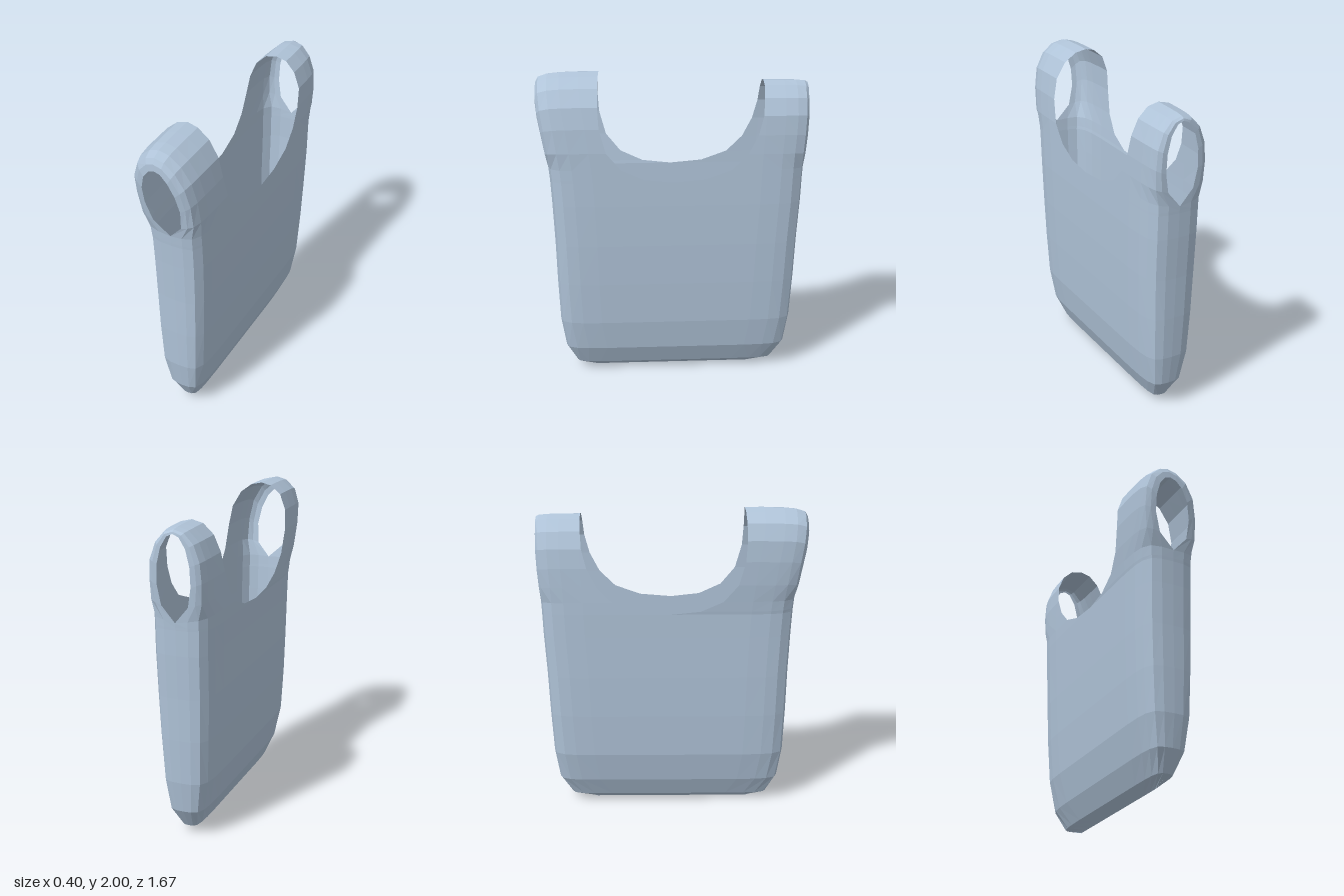
import * as THREE from 'three';

// Level: [y, xMin, xMax, end z, inner z]; the inner z follows the scooped mouth.
const LOWER = [
  [0, 0.02, 0.02], [0.05, -0.045, 0.085], [0.18, -0.1, 0.14], [0.38, -0.14, 0.17],
  [0.66, -0.155, 0.185], [0.93, -0.163, 0.195], [1.2, -0.167, 0.2], [1.355, -0.17, 0.2],
];
const FRONT = {
  ends: [0.5, 0.63, 0.7, 0.73, 0.74, 0.745, 0.755, 0.763],
  upper: [
    [1.375, -0.173, 0.2, 0.765, 0.18], [1.44, -0.18, 0.2, 0.77, 0.32],
    [1.55, -0.193, 0.2, 0.785, 0.41], [1.7, -0.203, 0.19, 0.805, 0.45],
    [1.83, -0.2, 0.165, 0.825, 0.457], [1.93, -0.165, 0.105, 0.835, 0.455],
    [1.985, -0.1, 0.03, 0.835, 0.45], [2, -0.04, -0.04, 0.835, 0.445],
  ],
  hole: { bottom: 1.43, top: 1.9, radius: 0.115, lean: -0.05 },
};
const BACK = {
  ends: [0.5, 0.66, 0.74, 0.77, 0.785, 0.795, 0.81, 0.815],
  upper: [
    [1.372, -0.17, 0.2, 0.816, 0.2], [1.43, -0.17, 0.2, 0.818, 0.36],
    [1.53, -0.169, 0.2, 0.822, 0.46], [1.65, -0.167, 0.198, 0.83, 0.52],
    [1.77, -0.155, 0.19, 0.835, 0.55], [1.87, -0.115, 0.15, 0.835, 0.557],
    [1.933, -0.05, 0.09, 0.835, 0.56], [1.95, 0.02, 0.02, 0.835, 0.56],
  ],
  hole: { bottom: 1.4, top: 1.92, radius: 0.105, lean: 0 },
};

// Rounded end: [blend from handle hole or centre line to full outline, inset in z]
const ROUNDING = [[0, 0], [0.4, 0.003], [0.72, 0.02], [0.9, 0.075], [0.97, 0.15], [1, 0.27]];

// One half of the bag, running from its rounded end to the mouth; dir is +1 or -1 in z
function halfGeometry({ ends, upper, hole }, dir) {
  const levels = [...LOWER.map((l, i) => [...l, ends[i], 0]), ...upper];
  const holeStart = upper[1][0], peak = upper[upper.length - 1][0];

  // Ring of outline points, up the left side and down the right
  const point = (l, side) => {
    const [y, xMin, xMax, zEnd, zIn] = l;
    const h = Math.max(0, (y - holeStart) / (peak - holeStart));
    return {
      x: side > 0 ? xMax : xMin, y, zEnd, zIn,
      hx: 0.02 + hole.lean * h + side * 2 * hole.radius * Math.sqrt(Math.max(0, h * (1 - h))),
      hy: y < holeStart ? Math.min(y, hole.bottom) : hole.bottom + h * (hole.top - hole.bottom),
    };
  };
  const ring = [
    ...levels.map((l) => point(l, 1)),
    ...levels.slice(0, -1).reverse().map((l) => point(l, -1)),
  ];

  const positions = [], index = [];
  const n = ring.length, columns = ROUNDING.length + 1;
  for (let j = 0; j < columns; j++) {
    for (const p of ring) {
      const [t, inset] = ROUNDING[Math.min(j, ROUNDING.length - 1)];
      const z = j === columns - 1 ? p.zIn : p.zEnd - inset;
      positions.push(p.hx + (p.x - p.hx) * t, p.hy + (p.y - p.hy) * t, dir * z);
    }
  }
  for (let j = 0; j < columns - 1; j++) {
    for (let k = 0; k < n - 1; k++) {
      const a = j * n + k, b = a + n, c = b + 1, d = a + 1;
      if (dir > 0) index.push(a, b, c, a, c, d);
      else index.push(a, c, b, a, d, c);
    }
  }
  const indexed = new THREE.BufferGeometry();
  indexed.setAttribute('position', new THREE.Float32BufferAttribute(positions, 3));
  indexed.setIndex(index);
  // Separate faces keep the low-poly facets
  const geometry = indexed.toNonIndexed();
  geometry.computeVertexNormals();
  return geometry;
}

export function createModel() {
  const group = new THREE.Group();
  group.name = 'carrierBag';
  const film = new THREE.MeshStandardMaterial({ color: 0xb0c4d9, side: THREE.DoubleSide });
  film.name = 'paleBlueFilm';

  // Each half carries its body and its looped handle
  for (const [name, half, dir] of [['frontBodyAndHandle', FRONT, 1], ['backBodyAndHandle', BACK, -1]]) {
    const mesh = new THREE.Mesh(halfGeometry(half, dir), film);
    mesh.name = name;
    group.add(mesh);
  }
  return group;
}
